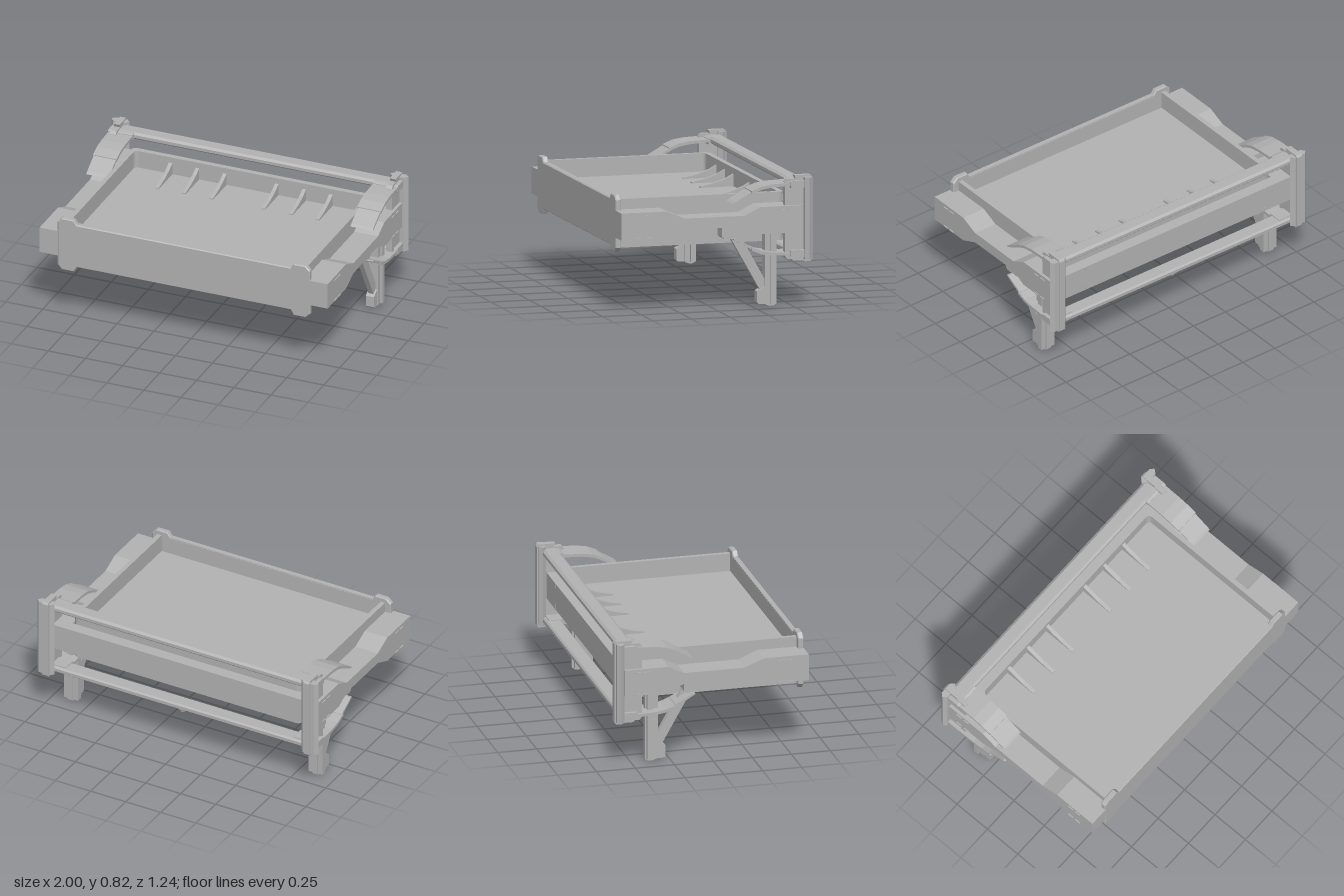
import * as THREE from 'three';

const grey = new THREE.MeshStandardMaterial({ color: 0xb2b2b2 });
grey.name = 'plain grey';

export function createModel() {
  const root = new THREE.Group();
  root.name = 'slidingTrayFrame';

  const add = (name, geometry) => {
    const mesh = new THREE.Mesh(geometry, grey);
    mesh.name = name;
    root.add(mesh);
    return mesh;
  };
  // Box given by its limits on each axis
  const box = (name, x0, x1, y0, y1, z0, z1) =>
    add(name, new THREE.BoxGeometry(Math.abs(x1 - x0), y1 - y0, z1 - z0)
      .translate((x0 + x1) / 2, (y0 + y1) / 2, (z0 + z1) / 2));
  const polygon = (points) => new THREE.Shape(points.map(([a, b]) => new THREE.Vector2(a, b)));
  const extrude = (shape, depth) =>
    new THREE.ExtrudeGeometry(shape, { depth, bevelEnabled: false, curveSegments: 6 });
  // Side profile of (z, y) points carried from x0 to x1
  const profile = (name, points, x0, x1) =>
    add(name, extrude(polygon(points), Math.abs(x1 - x0))
      .rotateY(-Math.PI / 2).translate(Math.max(x0, x1), 0, 0));
  // Plan outline of (x, z) points carried from y0 to y1
  const plan = (name, points, y0, y1) =>
    add(name, extrude(polygon(points.map(([x, z]) => [x, -z])), y1 - y0)
      .rotateX(-Math.PI / 2).translate(0, y0, 0));
  // Rectangle in plan with rounded rear corners
  const trayOutline = (Type, w, zBack, zFront, r) => {
    const s = new Type();
    s.moveTo(-w, -zFront);
    s.lineTo(w, -zFront);
    s.lineTo(w, -zBack - r);
    s.quadraticCurveTo(w, -zBack, w - r, -zBack);
    s.lineTo(-w + r, -zBack);
    s.quadraticCurveTo(-w, -zBack, -w, -zBack - r);
    s.lineTo(-w, -zFront);
    return s;
  };

  // Tray walls and floor, recessed on both faces
  const rim = trayOutline(THREE.Shape, 0.81, -0.48, 0.59, 0.04);
  rim.holes.push(trayOutline(THREE.Path, 0.78, -0.445, 0.585, 0.03));
  add('trayWalls', extrude(rim, 0.305).rotateX(-Math.PI / 2).translate(0, 0.4, 0));
  box('trayFloor', -0.79, 0.79, 0.5, 0.59, -0.46, 0.588);

  // Front panel with taller rounded ends
  const front = new THREE.Shape();
  const half = [[0.72, 0.705], [0.74, 0.735], [0.82, 0.735], [0.85, 0.705], [0.85, 0.405],
    [0.82, 0.375], [0.74, 0.375], [0.72, 0.41]];
  half.forEach(([x, y], i) => (i ? front.lineTo(x, y) : front.moveTo(x, y)));
  [...half].reverse().forEach(([x, y]) => front.lineTo(-x, y));
  front.closePath();
  add('frontPanel', new THREE.ExtrudeGeometry(front, {
    depth: 0.025, bevelThickness: 0.006, bevelSize: 0.006, bevelOffset: -0.006, bevelSegments: 1,
  }).translate(0, 0, 0.59));

  // Wedge ribs at the rear of the tray
  for (const x of [0.175, 0.36, 0.54])
    for (const s of [-1, 1])
      profile('trayRib', [[-0.45, 0.585], [-0.23, 0.585], [-0.23, 0.597], [-0.32, 0.615],
        [-0.4, 0.642], [-0.45, 0.67]], s * x - 0.012, s * x + 0.012);

  // Rear panel and the two rails
  box('rearPanel', -0.96, 0.96, 0.47, 0.64, -0.56, -0.485);
  for (const s of [-1, 1]) {
    box('rearPanelSlot', s * 0.7 - 0.003, s * 0.7 + 0.003, 0.61, 0.64, -0.564, -0.559);
    box('rearPanelSlot', s * 0.7 - 0.003, s * 0.7 + 0.003, 0.47, 0.5, -0.564, -0.559);
  }
  const upperRail = [[-0.59, 0.765], [-0.58, 0.755], [-0.5, 0.755], [-0.49, 0.765], [-0.49, 0.785],
    [-0.505, 0.797], [-0.575, 0.797], [-0.59, 0.785]];
  profile('upperRail', upperRail, -0.93, 0.93);
  profile('lowerRail', upperRail.map(([z, y]) => [z, 1.11 - y]).reverse(), -0.93, 0.93);

  // Small knob under the lower rail
  add('railKnob', new THREE.CylinderGeometry(0.035, 0.035, 0.015, 12).translate(0, 0.308, -0.53));
  add('railKnobTip', new THREE.CylinderGeometry(0.025, 0.018, 0.025, 12).translate(0, 0.29, -0.53));

  for (const s of [-1, 1]) {
    // Side arm with a narrow waist
    profile('sideArm', [[0.62, 0.47], [0.62, 0.64], [0.33, 0.64], [0.21, 0.59], [-0.18, 0.59],
      [-0.28, 0.64], [-0.56, 0.64], [-0.56, 0.47], [-0.28, 0.47], [-0.18, 0.52], [0.21, 0.52],
      [0.33, 0.47]], s * 0.81, s * 0.97);
    for (const y of [0.478, 0.617])
      for (const z of [0.5, 0.445, -0.415, -0.475])
        box('armTab', s * 0.968, s * 0.977, y - 0.003, y + 0.003, z - 0.02, z + 0.02);

    // Rear post: six-sided column with a central rib
    plan('rearPost', [[0.88, -0.59], [0.9, -0.612], [0.98, -0.612], [1, -0.59], [0.98, -0.565],
      [0.9, -0.565]].map(([x, z]) => [s * x, z]), 0.3, 0.815);
    profile('postRib', [[-0.56, 0.29], [-0.575, 0.283], [-0.61, 0.283], [-0.622, 0.297],
      [-0.622, 0.813], [-0.61, 0.827], [-0.505, 0.827], [-0.515, 0.805], [-0.46, 0.805],
      [-0.445, 0.785], [-0.445, 0.32], [-0.46, 0.302], [-0.49, 0.302], [-0.5, 0.29]],
    s * 0.91, s * 0.95);

    // Upper and lower curved guides, mirrored about the arm
    for (const up of [true, false]) {
      const flip = (pts) => (up ? pts : pts.map(([z, y]) => [z, 1.11 - y]).reverse());
      const side = up ? 'upper' : 'lower';
      profile(side + 'GuideBlock', flip([[-0.57, 0.75], [-0.48, 0.75], [-0.475, 0.76],
        [-0.475, 0.787], [-0.49, 0.795], [-0.57, 0.795]]), s * 0.81, s * 0.975);
      profile(side + 'Guide', flip([[-0.48, 0.765], [-0.36, 0.76], [-0.29, 0.748], [-0.225, 0.723],
        [-0.225, 0.742], [-0.29, 0.768], [-0.36, 0.779], [-0.48, 0.784]]), s * 0.81, s * 0.97);
      profile(side + 'GuideFlap', flip([[-0.235, 0.724], [-0.12, 0.662], [-0.105, 0.664],
        [-0.12, 0.676], [-0.235, 0.742]]), s * 0.815, s * 0.965);
    }

    // Leg: channelled column, foot, diagonal brace and bracket
    box('legColumn', s * 0.82, s * 0.92, 0.02, 0.48, -0.4, -0.365);
    box('legFlange', s * 0.835, s * 0.905, 0.02, 0.48, -0.37, -0.33);
    profile('legRib', [[-0.34, 0.012], [-0.365, 0.004], [-0.39, 0.004], [-0.41, 0.018],
      [-0.41, 0.48], [-0.34, 0.48]], s * 0.855, s * 0.888);
    profile('foot', [[-0.28, 0.03], [-0.28, 0.1], [-0.33, 0.13], [-0.37, 0.13], [-0.37, 0.02],
      [-0.29, 0.02]], s * 0.845, s * 0.9);
    profile('legBrace', [[-0.1, 0.46], [-0.17, 0.46], [-0.34, 0.16], [-0.34, 0.11], [-0.3, 0.11]],
      s * 0.855, s * 0.888);
    profile('braceBracket', [[-0.045, 0.53], [-0.17, 0.53], [-0.17, 0.455], [-0.155, 0.442],
      [-0.06, 0.442], [-0.045, 0.455]], s * 0.825, s * 0.925);
  }

  // Give mirrored plan outlines outward faces
  root.traverse((o) => { if (o.isMesh) o.geometry.computeBoundingBox(); });
  return root;
}
